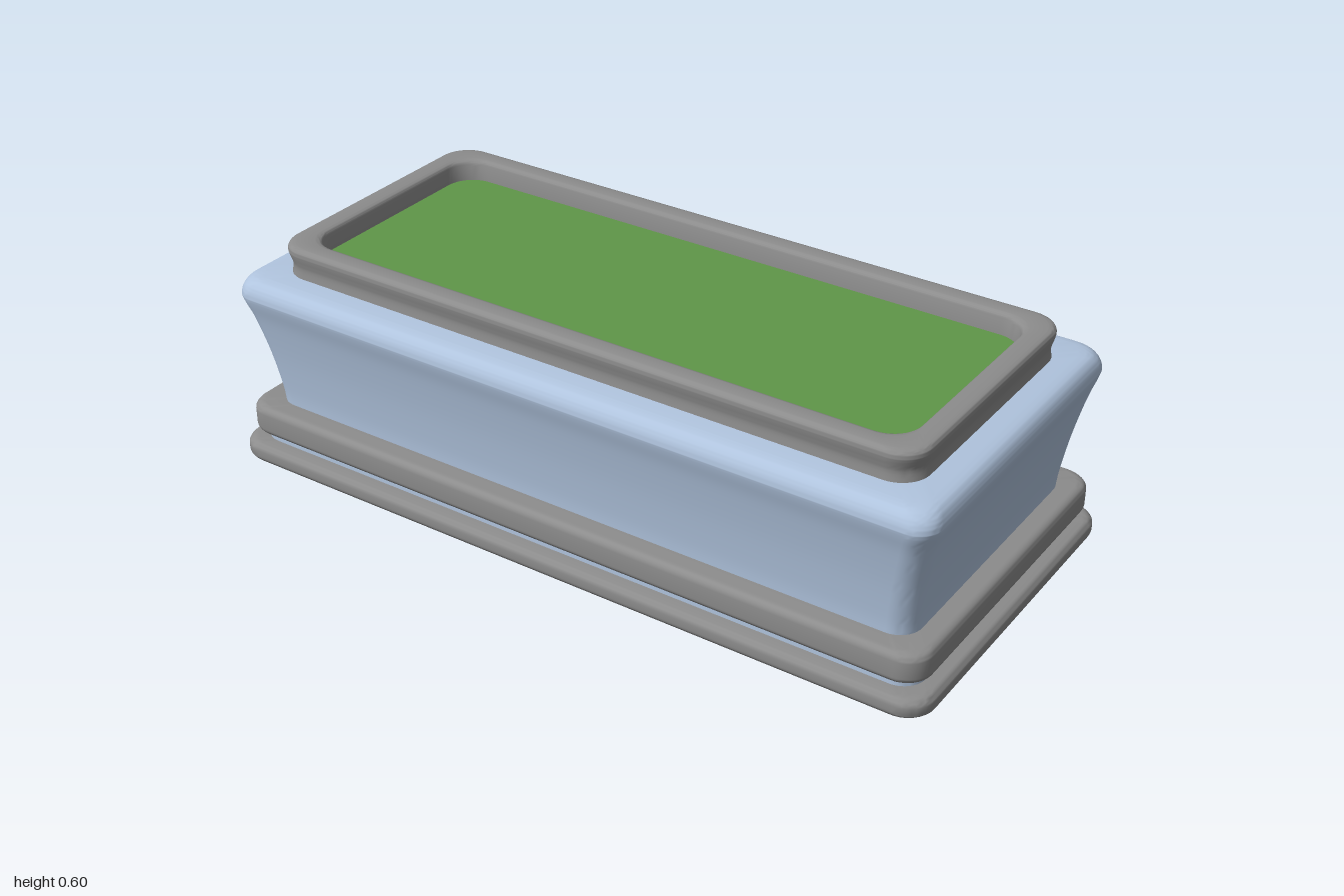
import * as THREE from 'three';
import { toCreasedNormals } from 'three/addons/utils/BufferGeometryUtils.js';

const CORNER_STEPS = 10;
const DEPTH_DIFF = 0.528; // half width minus half depth, the same at every level

const stone = new THREE.MeshStandardMaterial({ color: 0x8c8c8c, side: THREE.DoubleSide });
const glaze = new THREE.MeshStandardMaterial({ color: 0xb0c4de, side: THREE.DoubleSide });
const grass = new THREE.MeshStandardMaterial({ color: 0x5f9648, side: THREE.DoubleSide });

// Points of a rounded rectangle; half width 0 collapses to the centre
function ring(hx, y, radius) {
  const points = [];
  for (let q = 0; q < 4; q++) {
    const sx = q === 0 || q === 3 ? 1 : -1;
    const sz = q < 2 ? 1 : -1;
    for (let i = 0; i <= CORNER_STEPS; i++) {
      const t = (q + i / CORNER_STEPS) * Math.PI / 2;
      points.push(hx === 0 ? [0, y, 0] : [
        sx * (hx - radius) + radius * Math.cos(t), y,
        sz * (hx - DEPTH_DIFF - radius) + radius * Math.sin(t),
      ]);
    }
  }
  return points;
}

// Sweeps a profile of [half width, height] around the rounded rectangle
function sweep(name, profile, radius, material) {
  const positions = [], index = [];
  const n = 4 * (CORNER_STEPS + 1);
  profile.forEach(([hx, y], row) => {
    positions.push(...ring(hx, y, radius).flat());
    if (row === profile.length - 1) return;
    for (let i = 0; i < n; i++) {
      const a = row * n + i, b = row * n + (i + 1) % n;
      index.push(a, a + n, b, b, a + n, b + n);
    }
  });
  const geometry = new THREE.BufferGeometry();
  geometry.setAttribute('position', new THREE.Float32BufferAttribute(positions, 3));
  geometry.setIndex(index);
  const mesh = new THREE.Mesh(toCreasedNormals(geometry, 0.7), material);
  mesh.name = name;
  return mesh;
}

// Profile of a flat band with rounded outer edges
function band(hx, y0, y1, r, inner) {
  const profile = [[inner, y0]];
  for (let i = 0; i <= 6; i++) {
    const t = (i / 6 - 1) * Math.PI / 2;
    profile.push([hx - r + r * Math.cos(t), y0 + r + r * Math.sin(t)]);
  }
  for (let i = 0; i <= 6; i++) {
    const t = i / 6 * Math.PI / 2;
    profile.push([hx - r + r * Math.cos(t), y1 - r + r * Math.sin(t)]);
  }
  profile.push([inner, y1]);
  return profile;
}

// Smooth curve through a few profile points
function smooth(points, steps) {
  const curve = new THREE.SplineCurve(points.map(p => new THREE.Vector2(...p)));
  return curve.getPoints(steps).map(p => [p.x, p.y]);
}

export function createModel() {
  const group = new THREE.Group();
  group.name = 'planter';

  // Foot: bottom plate, two rounded bands and the recessed groove between them
  group.add(sweep('bottomPlate', [[0, 0], [0.98, 0]], 0.06, glaze));
  group.add(sweep('baseBand', band(1, 0, 0.055, 0.02, 0.94), 0.07, stone));
  group.add(sweep('groove', [[0.957, 0.05], [0.957, 0.08]], 0.06, glaze));
  group.add(sweep('upperBand', band(0.98, 0.075, 0.157, 0.02, 0.9), 0.065, stone));

  // Flared body with a rounded shoulder
  const body = smooth([
    [0.922, 0.15], [0.926, 0.2], [0.941, 0.3], [0.962, 0.4], [0.978, 0.455],
    [0.981, 0.475], [0.974, 0.498], [0.959, 0.514], [0.936, 0.52],
  ], 40);
  group.add(sweep('body', [...body, [0.85, 0.52]], 0.06, glaze));

  // Rim with a slight waist, rounded lip and vertical inner wall
  const rimOuter = smooth([
    [0.894, 0.515], [0.891, 0.545], [0.896, 0.57], [0.898, 0.585], [0.894, 0.596], [0.883, 0.6],
  ], 20);
  const rimInner = smooth([[0.85, 0.6], [0.84, 0.596], [0.836, 0.585]], 6);
  group.add(sweep('rim', [...rimOuter, ...rimInner, [0.834, 0.535]], 0.075, stone));

  // Planted surface sunk inside the rim
  group.add(sweep('grass', [[0.84, 0.545], [0, 0.545]], 0.075, grass));
  return group;
}
